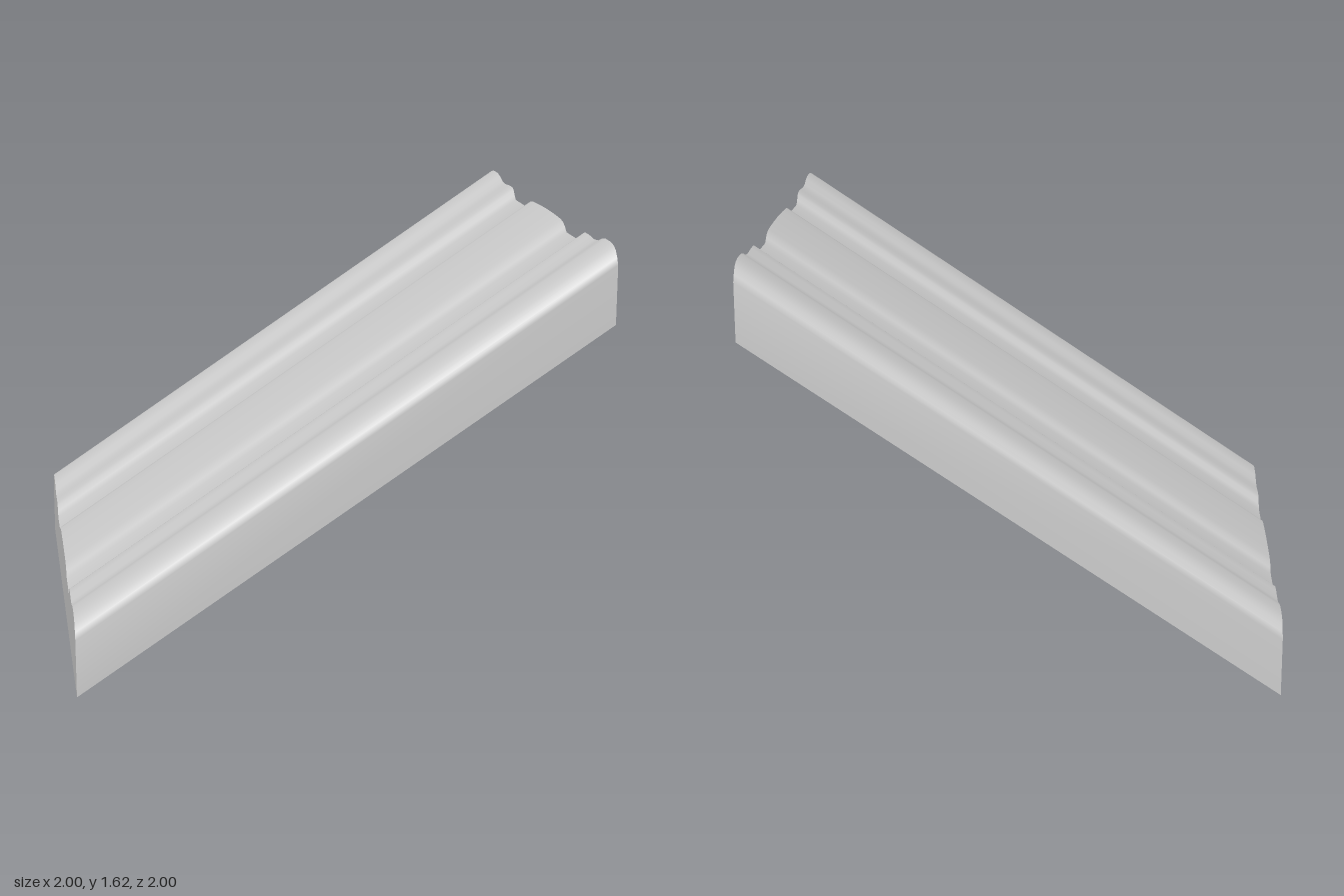
import * as THREE from 'three';

const BASE_RISE = 1.335; // climb of the rail from x = -1 to x = +1

// Half of the moulded cross-section: [z, height above the sloping base], edge to centre
const HALF = [
  [1, 0], [1, 0.222], [0.985, 0.247], [0.965, 0.27], [0.94, 0.283], [0.9, 0.29], [0.83, 0.29], [0.785, 0.282],
  [0.74, 0.267], [0.69, 0.262], [0.62, 0.267], [0.565, 0.267], [0.54, 0.259], [0.52, 0.24],
  [0.495, 0.222], [0.31, 0.222], [0.285, 0.239], [0.26, 0.252], [0.22, 0.26], [0.12, 0.264],
];
const PROFILE = [
  ...HALF, [0, 0.266],
  ...HALF.slice().reverse().map(([z, h]) => [-z, h]),
];

const baseY = (x) => (x + 1) / 2 * BASE_RISE;

// Smooth skin swept along the slope
function skinGeometry(profile) {
  const pos = [], index = [];
  for (const [z, h] of profile) {
    for (const x of [-1, 1]) pos.push(x, baseY(x) + h, z);
  }
  for (let i = 0; i < profile.length - 1; i++) {
    const a = i * 2;
    index.push(a, a + 1, a + 3, a, a + 3, a + 2);
  }
  const geo = new THREE.BufferGeometry();
  geo.setAttribute('position', new THREE.Float32BufferAttribute(pos, 3));
  geo.setIndex(index);
  geo.computeVertexNormals();
  return geo;
}

// Flat vertical end with the cross-section as outline
function endGeometry(side) {
  const shape = new THREE.Shape(PROFILE.map(([z, h]) => new THREE.Vector2(-side * z, h)));
  return new THREE.ShapeGeometry(shape)
    .rotateY(side * Math.PI / 2)
    .translate(side, baseY(side), 0);
}

export function createModel() {
  const group = new THREE.Group();
  group.name = 'slopedHandrail';
  const grey = new THREE.MeshStandardMaterial({ color: 0xcccccc });
  grey.name = 'light grey';

  const add = (name, geometry) => {
    const mesh = new THREE.Mesh(geometry, grey);
    mesh.name = name;
    group.add(mesh);
  };

  add('mouldedTopAndSides', skinGeometry(PROFILE));
  add('underside', skinGeometry([[-1, 0], [1, 0]]));
  add('upperEnd', endGeometry(1));
  add('lowerEnd', endGeometry(-1));
  return group;
}
